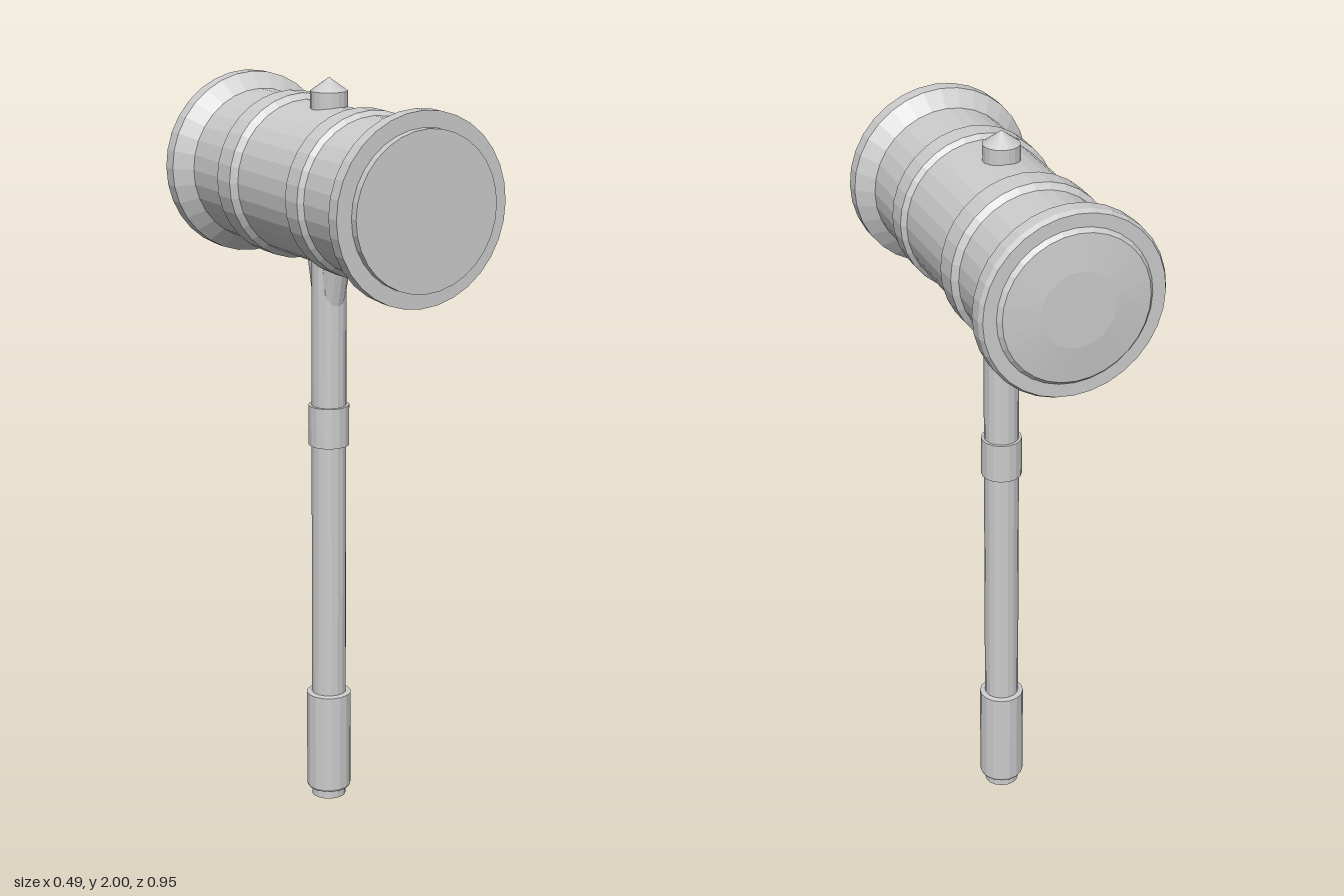
import * as THREE from 'three';

const material = new THREE.MeshStandardMaterial({ color: 0xcccccc, flatShading: true });

// Turned part from [radius, height] pairs, listed bottom to top
function turned(name, profile, sides) {
  const points = profile.map(([r, h]) => new THREE.Vector2(r, h));
  const mesh = new THREE.Mesh(new THREE.LatheGeometry(points, sides), material);
  mesh.name = name;
  return mesh;
}

export function createModel() {
  const model = new THREE.Group();
  model.name = 'mallet';

  // Head: turned barrel lying along z, domed at the back and flat at the front
  const head = turned('head', [
    [0, -0.475], [0.1, -0.475], [0.195, -0.465], [0.205, -0.453],
    [0.24, -0.453], [0.247, -0.44], [0.247, -0.402], [0.205, -0.36],
    [0.205, -0.215], [0.22, -0.2], [0.22, -0.132], [0.205, -0.115],
    [0.205, 0.14], [0.217, 0.153], [0.217, 0.212], [0.205, 0.225],
    [0.205, 0.375], [0.247, 0.415], [0.247, 0.453],
    [0.205, 0.453], [0.205, 0.475], [0, 0.475],
  ], 32);
  head.rotation.x = Math.PI / 2;
  head.position.y = 1.722;
  model.add(head);

  // Everything on the handle axis
  const handle = new THREE.Group();
  handle.name = 'handle';
  handle.position.set(-0.004, 0, 0.012);
  model.add(handle);

  handle.add(turned('shaft', [[0, 0], [0.047, 0], [0.047, 1.6], [0, 1.6]], 16));
  handle.add(turned('grip', [
    [0.046, 0.025], [0.057, 0.025], [0.061, 0.032], [0.061, 0.305], [0.046, 0.308],
  ], 16));
  handle.add(turned('ring', [
    [0.046, 1.018], [0.055, 1.018], [0.055, 1.128], [0.046, 1.128],
  ], 16));

  // Pointed cap above the head
  handle.add(turned('cap', [
    [0, 1.88], [0.049, 1.88], [0.049, 1.965], [0, 2],
  ], 18));

  // Tilted braces under the head, front and back
  for (const side of [-1, 1]) {
    const brace = new THREE.Mesh(new THREE.CylinderGeometry(0.036, 0.036, 0.24, 12), material);
    brace.name = side > 0 ? 'frontBrace' : 'backBrace';
    brace.position.set(0, 1.47, side * 0.026);
    brace.rotation.x = side * 0.24;
    handle.add(brace);
  }

  return model;
}
